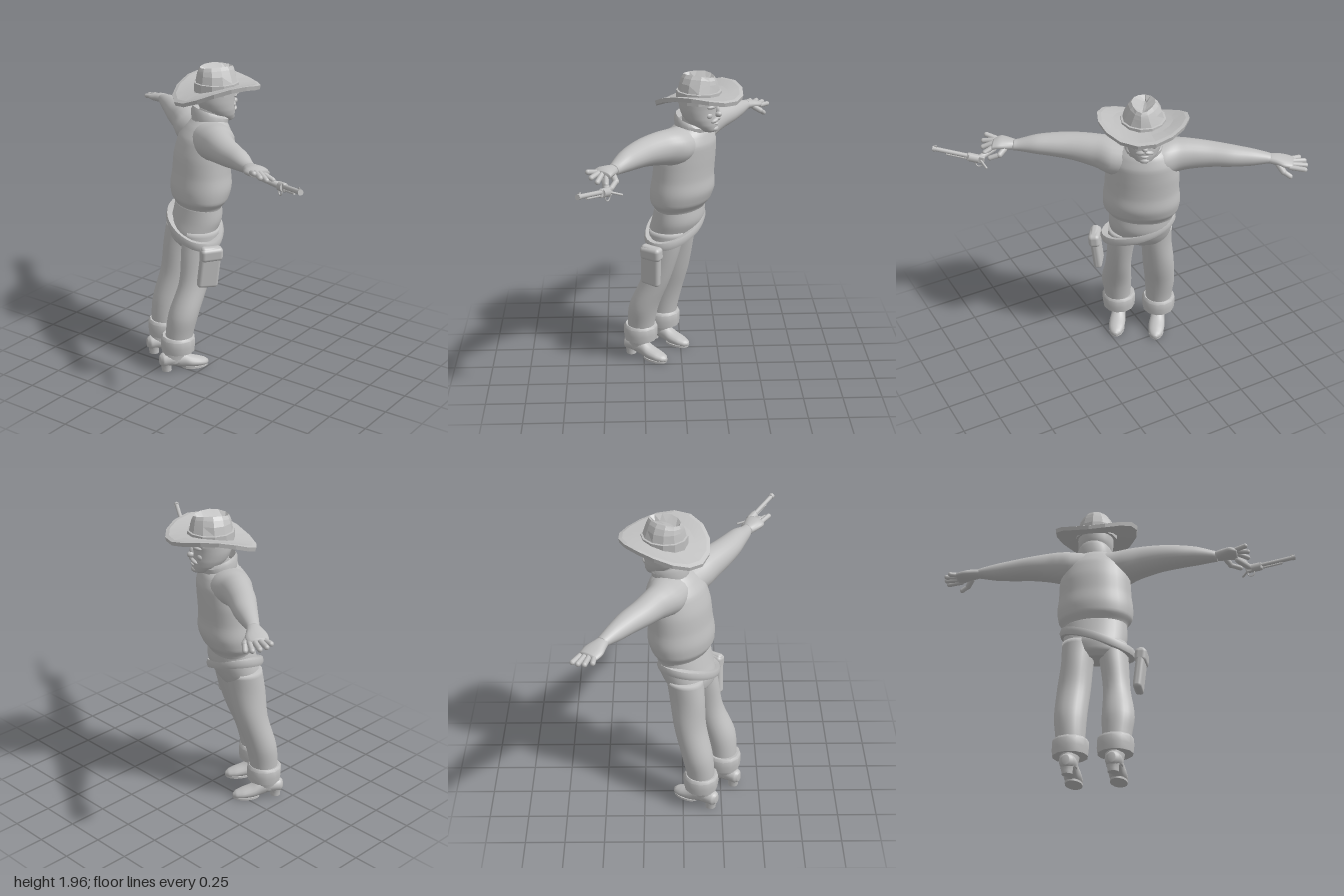
import * as THREE from 'three';
import { toCreasedNormals } from 'three/addons/utils/BufferGeometryUtils.js';
import { RoundedBoxGeometry } from 'three/addons/geometries/RoundedBoxGeometry.js';

const V = (x, y, z) => new THREE.Vector3(x, y, z);
const TURN = 0.96; // the figure faces between +x and +z
const F = V(Math.sin(TURN), 0, Math.cos(TURN)); // its forward
const L = V(Math.cos(TURN), 0, -Math.sin(TURN)); // its left
const Y = V(0, 1, 0), X = V(1, 0, 0), Z = V(0, 0, 1);

// Skin of rows x sides points given by a rule, optionally capped at both ends
function skin(rows, sides, point, capped = true) {
  const pos = [], idx = [];
  const ends = [V(0, 0, 0), V(0, 0, 0)];
  for (let i = 0; i < rows; i++) for (let j = 0; j < sides; j++) {
    const p = point(i, (j / sides) * Math.PI * 2);
    pos.push(p.x, p.y, p.z);
    if (i === 0) ends[0].addScaledVector(p, 1 / sides);
    if (i === rows - 1) ends[1].addScaledVector(p, 1 / sides);
  }
  ends.forEach((e) => pos.push(e.x, e.y, e.z));
  for (let j = 0; j < sides; j++) {
    const k = (j + 1) % sides, n = rows * sides, top = (rows - 1) * sides;
    for (let i = 0; i < rows - 1; i++) {
      const r = i * sides, s = r + sides;
      idx.push(r + j, r + k, s + j, r + k, s + k, s + j);
    }
    if (capped) idx.push(n, k, j, n + 1, top + j, top + k);
  }
  const g = new THREE.BufferGeometry();
  g.setAttribute('position', new THREE.Float32BufferAttribute(pos, 3));
  g.setIndex(idx);
  g.computeVertexNormals();
  return g;
}

// Smooth loft through rings [x, y, z, radius along u, radius along v]
function loft(rings, u = F, v = L, sides = 24, steps = 5) {
  const path = new THREE.CatmullRomCurve3(rings.map((r) => V(r[0], r[1], r[2])), false, 'centripetal');
  const size = new THREE.CatmullRomCurve3(rings.map((r) => V(r[3], r[4], 0)), false, 'centripetal');
  const n = (rings.length - 1) * steps;
  return skin(n + 1, sides, (i, t) => {
    const s = size.getPoint(i / n);
    return path.getPoint(i / n).addScaledVector(u, s.x * Math.cos(t)).addScaledVector(v, s.y * Math.sin(t));
  });
}

export function createModel() {
  const model = new THREE.Group();
  const grey = new THREE.MeshStandardMaterial({ color: 0xc0c0c0 });
  grey.name = 'plainGrey';
  const sheet = grey.clone();
  sheet.side = THREE.DoubleSide;
  const add = (name, geo, parent = model, mat = grey) => {
    const m = new THREE.Mesh(geo, mat);
    m.name = name;
    parent.add(m);
    return m;
  };
  const group = (name, x, y, z, turn = TURN) => {
    const g = new THREE.Group();
    g.name = name;
    g.position.set(x, y, z);
    g.rotation.y = turn;
    model.add(g);
    return g;
  };
  const rod = (name, a, b, r, parent = model) => {
    const p = V(...a), d = V(...b).sub(p), len = d.length();
    const m = add(name, new THREE.CapsuleGeometry(r, len, 5, 10), parent);
    m.position.copy(p).addScaledVector(d, 0.5);
    m.quaternion.setFromUnitVectors(Y, d.normalize());
    return m;
  };
  const ball = (name, p, s, parent) => {
    const m = add(name, new THREE.SphereGeometry(1, 16, 12), parent);
    m.position.set(...p);
    m.scale.set(...s);
    return m;
  };

  // Body
  add('shirt', loft([
    [-0.005, 1.06, -0.157, 0.13, 0.2], [-0.003, 1.09, -0.157, 0.145, 0.21], [0, 1.135, -0.153, 0.175, 0.238],
    [0.01, 1.21, -0.15, 0.189, 0.246], [0.015, 1.3, -0.148, 0.18, 0.236], [0.025, 1.41, -0.145, 0.178, 0.232],
    [0.042, 1.52, -0.135, 0.165, 0.215], [0.055, 1.59, -0.13, 0.13, 0.17], [0.065, 1.645, -0.125, 0.085, 0.09]], F, L, 32));
  add('trouserSeat', loft([
    [-0.075, 0.82, -0.178, 0.08, 0.14], [-0.06, 0.86, -0.178, 0.125, 0.18], [-0.04, 0.93, -0.172, 0.15, 0.196],
    [-0.018, 1.0, -0.16, 0.153, 0.204], [-0.005, 1.1, -0.157, 0.138, 0.205]], F, L, 32));
  add('rightLeg', loft([
    [-0.27, 0.17, -0.135, 0.085, 0.085], [-0.265, 0.27, -0.125, 0.09, 0.09], [-0.245, 0.4, -0.107, 0.097, 0.1],
    [-0.168, 0.6, -0.08, 0.097, 0.085], [-0.12, 0.8, -0.075, 0.115, 0.09], [-0.09, 0.94, -0.08, 0.12, 0.1]]));
  add('leftLeg', loft([
    [-0.115, 0.17, -0.36, 0.085, 0.085], [-0.11, 0.27, -0.36, 0.092, 0.09], [-0.09, 0.4, -0.353, 0.1, 0.1],
    [-0.045, 0.6, -0.315, 0.102, 0.104], [-0.025, 0.8, -0.285, 0.117, 0.1], [-0.01, 0.94, -0.265, 0.12, 0.11]]));
  add('rightArm', loft([
    [-0.42, 1.553, 0.52, 0.033, 0.036], [-0.408, 1.553, 0.49, 0.038, 0.043], [-0.357, 1.56, 0.4, 0.06, 0.065],
    [-0.303, 1.558, 0.3, 0.074, 0.08], [-0.238, 1.553, 0.2, 0.087, 0.09], [-0.145, 1.54, 0.09, 0.104, 0.105],
    [-0.06, 1.525, 0.01, 0.115, 0.13], [0.04, 1.52, -0.12, 0.11, 0.13]], Y, F));
  add('leftArm', loft([
    [0.04, 1.52, -0.13, 0.11, 0.13], [0.105, 1.53, -0.26, 0.115, 0.13], [0.14, 1.543, -0.34, 0.106, 0.105],
    [0.178, 1.551, -0.4, 0.096, 0.092], [0.245, 1.556, -0.5, 0.08, 0.083], [0.325, 1.558, -0.6, 0.068, 0.073],
    [0.395, 1.557, -0.7, 0.054, 0.056], [0.45, 1.558, -0.78, 0.034, 0.04], [0.465, 1.557, -0.8, 0.028, 0.036]], Y, F));

  // Turned-up cuffs and heeled boots
  for (const [side, x, z] of [['right', -0.27, -0.137], ['left', -0.115, -0.362]]) {
    const leg = group(side + 'Foot', x, 0, z);
    const cuff = [[0.085, 0.135], [0.108, 0.145], [0.113, 0.19], [0.112, 0.235], [0.1, 0.252], [0.08, 0.25]];
    add(side + 'Cuff', toCreasedNormals(skin(cuff.length, 12, (i, t) =>
      V(cuff[i][0] * Math.sin(t), cuff[i][1], cuff[i][0] * Math.cos(t))), 0.7), leg);
    add(side + 'BootShaft', loft([[0, 0.06, -0.03, 0.07, 0.048], [0, 0.11, -0.025, 0.075, 0.055],
      [0, 0.19, -0.01, 0.08, 0.07]], Z, X, 16), leg);
    add(side + 'BootUpper', loft([[0, 0.085, -0.125, 0.02, 0.03], [0, 0.085, -0.105, 0.045, 0.045],
      [0, 0.09, -0.05, 0.052, 0.05], [0, 0.075, 0.02, 0.048, 0.055], [0, 0.052, 0.08, 0.055, 0.043],
      [0, 0.04, 0.14, 0.052, 0.033], [0, 0.032, 0.185, 0.036, 0.024], [0, 0.028, 0.205, 0.012, 0.012]], X, Y, 16), leg);
    add(side + 'BootHeel', toCreasedNormals(loft([[0, 0.008, -0.078, 0.033, 0.033], [0, 0.04, -0.08, 0.034, 0.035],
      [0, 0.075, -0.08, 0.045, 0.042]], Z, X, 12, 2), 0.8), leg);
    const sole = add(side + 'BootSole', new THREE.CylinderGeometry(1, 1, 1, 16), leg);
    sole.scale.set(0.052, 0.014, 0.088);
    sole.position.set(0, 0.015, 0.115);
  }

  // Slanted gun belt, bulging over the holster
  const strap = [[-0.03, -0.026], [0.004, -0.026], [0.012, 0], [0.004, 0.026], [-0.03, 0.026]];
  add('gunBelt', toCreasedNormals(skin(5, 36, (i, t) => {
    const l = Math.sin(t), out = strap[i][0] + (l < 0 ? 0.03 * l * l * l * l : 0);
    return V(-0.035, 0.95 + 0.085 * l + strap[i][1], -0.168)
      .addScaledVector(F, Math.cos(t) * (0.168 + out)).addScaledVector(L, l * (0.217 + out));
  }, false), 0.7), model, sheet);
  const holster = group('holster', -0.2, 0.75, 0.065);
  const pouch = add('holsterPouch', new RoundedBoxGeometry(0.055, 0.28, 0.135, 3, 0.022), holster);
  pouch.rotation.set(0.08, 0, 0.1);
  const flap = add('holsterFlap', new RoundedBoxGeometry(0.075, 0.09, 0.145, 3, 0.025), holster);
  flap.position.set(-0.008, 0.09, 0.01);
  flap.rotation.z = 0.1;

  // Collar standing higher at the back of the neck
  const band = [[0.115, -0.02, 0], [0.12, 0.03, 0.25], [0.108, 0.05, 0.35], [0.09, 0.02, 0.25]];
  add('collar', toCreasedNormals(skin(4, 20, (i, t) => {
    const [r, y, lean] = band[i], c = Math.cos(t);
    return V(0.075, 1.625 + y - c * r * lean, -0.125).addScaledVector(F, c * r).addScaledVector(L, Math.sin(t) * r);
  }, false), 0.8), model, sheet);

  // Head with its features
  const head = group('head', 0.11, 0, -0.105, 1.12);
  add('neck', loft([[0, 1.55, -0.04, 0.075, 0.075], [0, 1.72, -0.02, 0.085, 0.085]], Z, X, 20), head);
  add('skull', loft([[0, 1.6, 0.07, 0.035, 0.03], [0, 1.612, 0.058, 0.062, 0.058], [0, 1.65, 0.03, 0.094, 0.092],
    [0, 1.69, 0.012, 0.112, 0.108], [0, 1.74, 0, 0.122, 0.116], [0, 1.8, 0, 0.127, 0.118], [0, 1.86, 0, 0.11, 0.105]], Z, X), head);
  ball('nose', [0, 1.718, 0.13], [0.02, 0.02, 0.026], head);
  ball('noseBridge', [0, 1.742, 0.118], [0.013, 0.032, 0.022], head);
  ball('chin', [0, 1.622, 0.1], [0.035, 0.022, 0.03], head);
  ball('lowerLip', [0, 1.655, 0.118], [0.026, 0.009, 0.014], head);
  for (const s of [-1, 1]) {
    ball('moustache', [s * 0.024, 1.682, 0.114], [0.034, 0.015, 0.022], head).rotation.set(0, s * 0.35, -s * 0.3);
    ball('brow', [s * 0.045, 1.772, 0.106], [0.04, 0.014, 0.02], head).rotation.y = s * 0.4;
    ball('cheek', [s * 0.05, 1.715, 0.088], [0.03, 0.024, 0.024], head);
  }

  // Faceted hat: brim curled up at the sides, crown dented along the top
  const hat = group('hat', 0.11, 0, -0.1);
  const brim = [[0.1, -0.014], [0.2, -0.016], [0.272, -0.02], [0.278, 0.006], [0.255, 0.012], [0.18, 0.01], [0.1, 0.012]];
  const brimGeo = skin(brim.length, 16, (i, t) => {
    const [r, dy] = brim[i], k = r / 0.275, c = Math.cos(t), s = Math.sin(t);
    return V(s * r, 1.82 + dy + k * 0.038 * c + k * k * (0.085 * s * s - 0.035), c * r);
  }, false);
  add('hatBrim', toCreasedNormals(brimGeo, 0.12), hat);
  const crown = [[0.138, 0.145, 1.79], [0.138, 0.145, 1.86], [0.125, 0.134, 1.862], [0.112, 0.125, 1.91],
    [0.092, 0.118, 1.945], [0.072, 0.108, 1.965], [0.018, 0.085, 1.935]];
  add('hatCrown', toCreasedNormals(skin(crown.length, 12, (i, t) => {
    const [a, b, y] = crown[i], c = Math.cos(t);
    const pinch = i > 2 ? 1 - 0.2 * Math.max(c, 0) : 1;
    return V(Math.sin(t) * a * pinch, y - (i > 3 ? 0.012 * c * c : 0), c * b);
  }), 0.12), hat);

  // Open left hand
  const fingers = (side, list) => list.forEach(([a, b, r = 0.016]) => rod(side + 'Finger', a, b, r));
  add('leftPalm', loft([[0.448, 1.558, -0.775, 0.026, 0.034], [0.475, 1.553, -0.82, 0.03, 0.048],
    [0.51, 1.543, -0.87, 0.027, 0.066], [0.54, 1.535, -0.915, 0.02, 0.06]], Y, F, 16));
  fingers('left', [[[0.498, 1.54, -0.89], [0.507, 1.535, -0.975]], [[0.525, 1.54, -0.9], [0.552, 1.533, -0.985]],
    [[0.55, 1.535, -0.89], [0.59, 1.527, -0.97]], [[0.57, 1.53, -0.87], [0.622, 1.52, -0.943]],
    [[0.52, 1.535, -0.82], [0.565, 1.505, -0.83], 0.019], [[0.565, 1.505, -0.83], [0.592, 1.48, -0.86]]]);

  // Right hand closed loosely over the grip
  add('rightPalm', loft([[-0.485, 1.56, 0.63, 0.024, 0.06], [-0.472, 1.565, 0.59, 0.03, 0.068],
    [-0.447, 1.56, 0.55, 0.032, 0.056], [-0.418, 1.553, 0.505, 0.03, 0.036]], Y, F, 16));
  fingers('right', [[[-0.52, 1.57, 0.595], [-0.565, 1.585, 0.64]], [[-0.505, 1.57, 0.615], [-0.545, 1.56, 0.67]],
    [[-0.485, 1.565, 0.63], [-0.51, 1.54, 0.69]], [[-0.46, 1.56, 0.62], [-0.46, 1.53, 0.7]],
    [[-0.425, 1.55, 0.57], [-0.405, 1.52, 0.625], 0.019], [[-0.405, 1.52, 0.625], [-0.43, 1.5, 0.68]]]);

  // Revolver, muzzle along its own +z
  const gun = group('revolver', -0.465, 1.505, 0.765, 0);
  gun.lookAt(-0.615, 1.553, 0.985);
  const barrelPart = (name, r, len, y, z, sides = 12) => {
    const m = add(name, new THREE.CylinderGeometry(r, r, len, sides), gun);
    m.rotation.x = Math.PI / 2;
    m.position.set(0, y, z);
  };
  barrelPart('barrel', 0.014, 0.22, 0.006, 0.155);
  barrelPart('ejectorRod', 0.007, 0.14, -0.014, 0.11, 8);
  barrelPart('muzzleRing', 0.017, 0.02, 0.006, 0.258);
  barrelPart('cylinder', 0.027, 0.06, 0, 0.005);
  add('frame', new RoundedBoxGeometry(0.026, 0.052, 0.11, 2, 0.008), gun).position.z = -0.005;
  add('frontSight', new THREE.BoxGeometry(0.005, 0.014, 0.018), gun).position.set(0, 0.024, 0.25);
  const guard = add('triggerGuard', new THREE.TorusGeometry(0.022, 0.004, 6, 16), gun);
  guard.rotation.y = Math.PI / 2;
  guard.position.set(0, -0.032, -0.03);
  rod('grip', [-0.455, 1.505, 0.735], [-0.468, 1.53, 0.64], 0.02);
  rod('hammerSpur', [-0.45, 1.5, 0.74], [-0.37, 1.478, 0.732], 0.007);
  return model;
}
